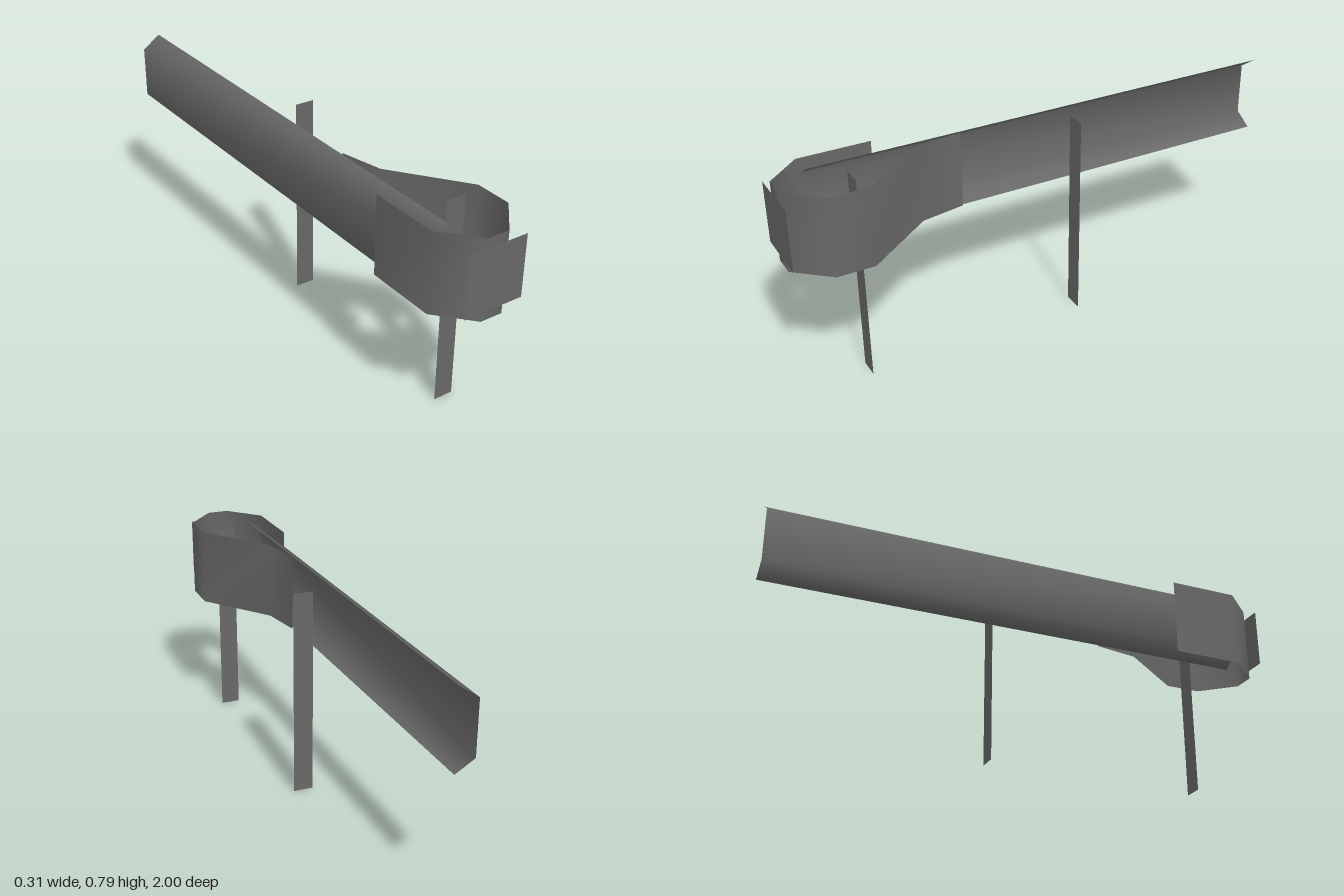
import * as THREE from 'three';

const steel = new THREE.MeshStandardMaterial({ color: 0x686868, side: THREE.DoubleSide });
steel.name = 'galvanised grey';

// Smooth sheet joining two matching rows of points
function sheet(rowA, rowB) {
  const index = [];
  const n = rowA.length;
  for (let i = 0; i < n - 1; i++) {
    index.push(i, i + 1, n + i, i + 1, n + i + 1, n + i);
  }
  const geometry = new THREE.BufferGeometry();
  geometry.setAttribute('position', new THREE.Float32BufferAttribute([...rowA, ...rowB].flat(), 3));
  geometry.setIndex(index);
  geometry.computeVertexNormals();
  return geometry;
}

export function createModel() {
  const group = new THREE.Group();
  group.name = 'guardrail';
  const add = (name, geometry, x = 0, y = 0, z = 0) => {
    const mesh = new THREE.Mesh(geometry, steel);
    mesh.name = name;
    mesh.position.set(x, y, z);
    group.add(mesh);
  };

  // Long rail: open channel section (x, y) swept along z
  const section = [[-0.077, 0.487], [-0.148, 0.53], [-0.148, 0.73], [-0.077, 0.779]];
  add('rail', sheet(
    section.map(([x, y]) => [x, y, 0.865]),
    section.map(([x, y]) => [x, y, -1]),
  ));

  // Curved end band: plan path (x, z, top height)
  const path = [
    [-0.07, 0.3, 0.779], [-0.04, 0.47, 0.785], [0.152, 0.73, 0.785], [0.152, 0.87, 0.785],
    [0.042, 0.995, 0.785], [-0.042, 0.995, 0.785], [-0.153, 0.87, 0.785], [-0.153, 0.6, 0.785],
  ];
  add('endBand', sheet(
    path.map(([x, z]) => [x, 0.487, z]),
    path.map(([x, z, top]) => [x, top, z]),
  ));

  // Flat square plate on the nose
  add('nosePlate', new THREE.PlaneGeometry(0.23, 0.23), 0, 0.638, 1);

  // Flat support posts
  for (const [name, z] of [['frontPost', 0.75], ['middlePost', -0.1]]) {
    add(name, new THREE.PlaneGeometry(0.075, 0.783), 0.046, 0.3915, z);
  }

  return group;
}
